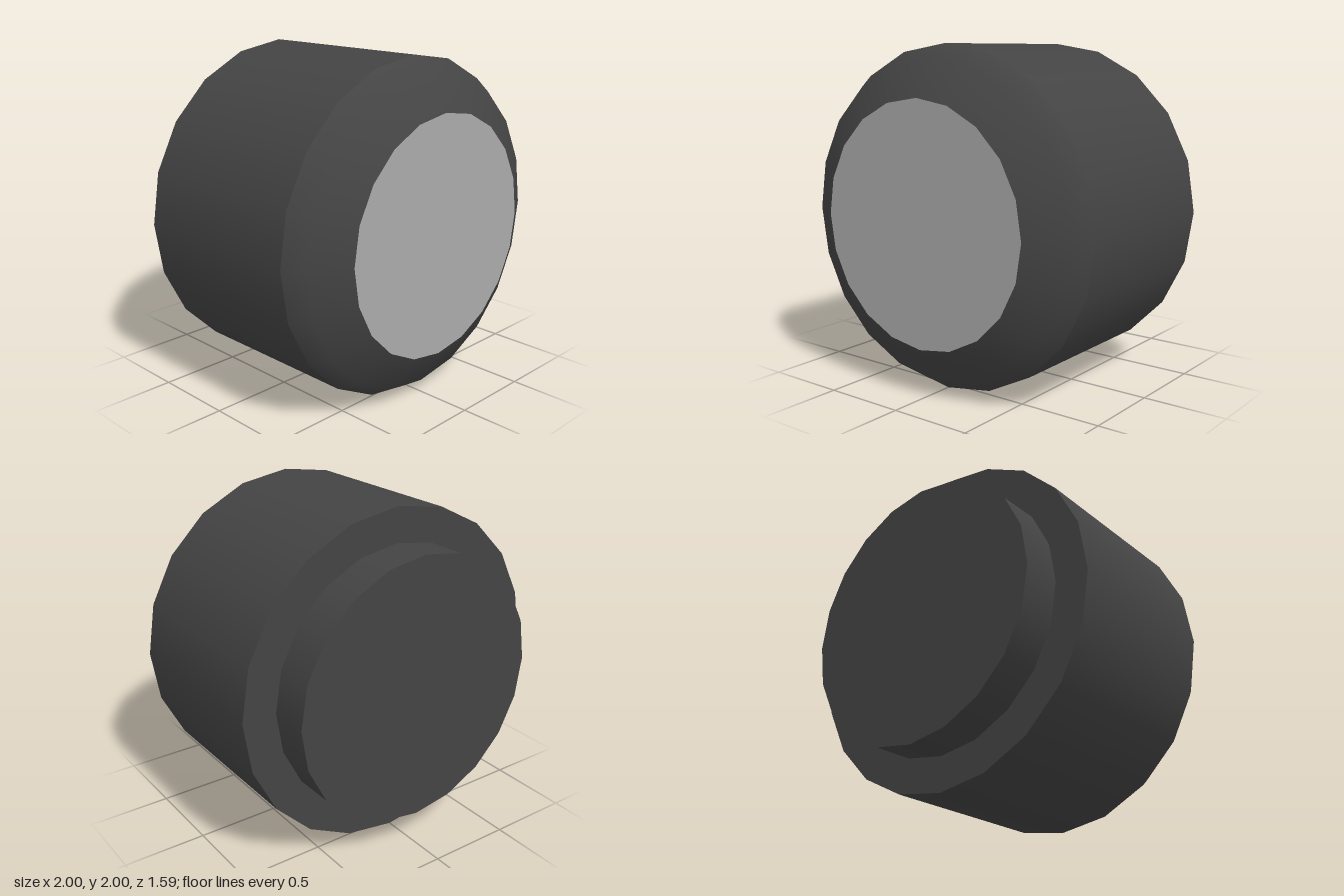
import * as THREE from 'three';

const SIDES = 20;
const dark = new THREE.MeshStandardMaterial({ color: 0x444444 });
const pale = new THREE.MeshStandardMaterial({ color: 0xaaaaaa });

// Surface of revolution about the z axis; profile is [radius, z] running from back to front
function turned(name, profile, material) {
  const points = profile.map(([r, z]) => new THREE.Vector2(r, z));
  const geometry = new THREE.LatheGeometry(points, SIDES);
  geometry.rotateX(Math.PI / 2);
  const mesh = new THREE.Mesh(geometry, material);
  mesh.name = name;
  return mesh;
}

export function createModel() {
  const model = new THREE.Group();
  model.name = 'lampHousing';

  const housing = new THREE.Group();
  housing.name = 'housing';
  housing.position.y = 1;
  model.add(housing);

  // Separate strips keep the edges between them sharp
  housing.add(
    turned('rearCap', [[0, -0.795], [0.795, -0.795]], dark),
    turned('rearCollar', [[0.795, -0.795], [0.795, -0.553]], dark),
    turned('rearShoulder', [[0.795, -0.553], [1, -0.553]], dark),
    turned('barrel', [[1, -0.553], [1, 0.555]], dark),
    turned('roundedRim', [[1, 0.555], [0.925, 0.67], [0.708, 0.795]], dark),
    turned('frontLens', [[0.708, 0.795], [0, 0.795]], pale)
  );
  return model;
}
